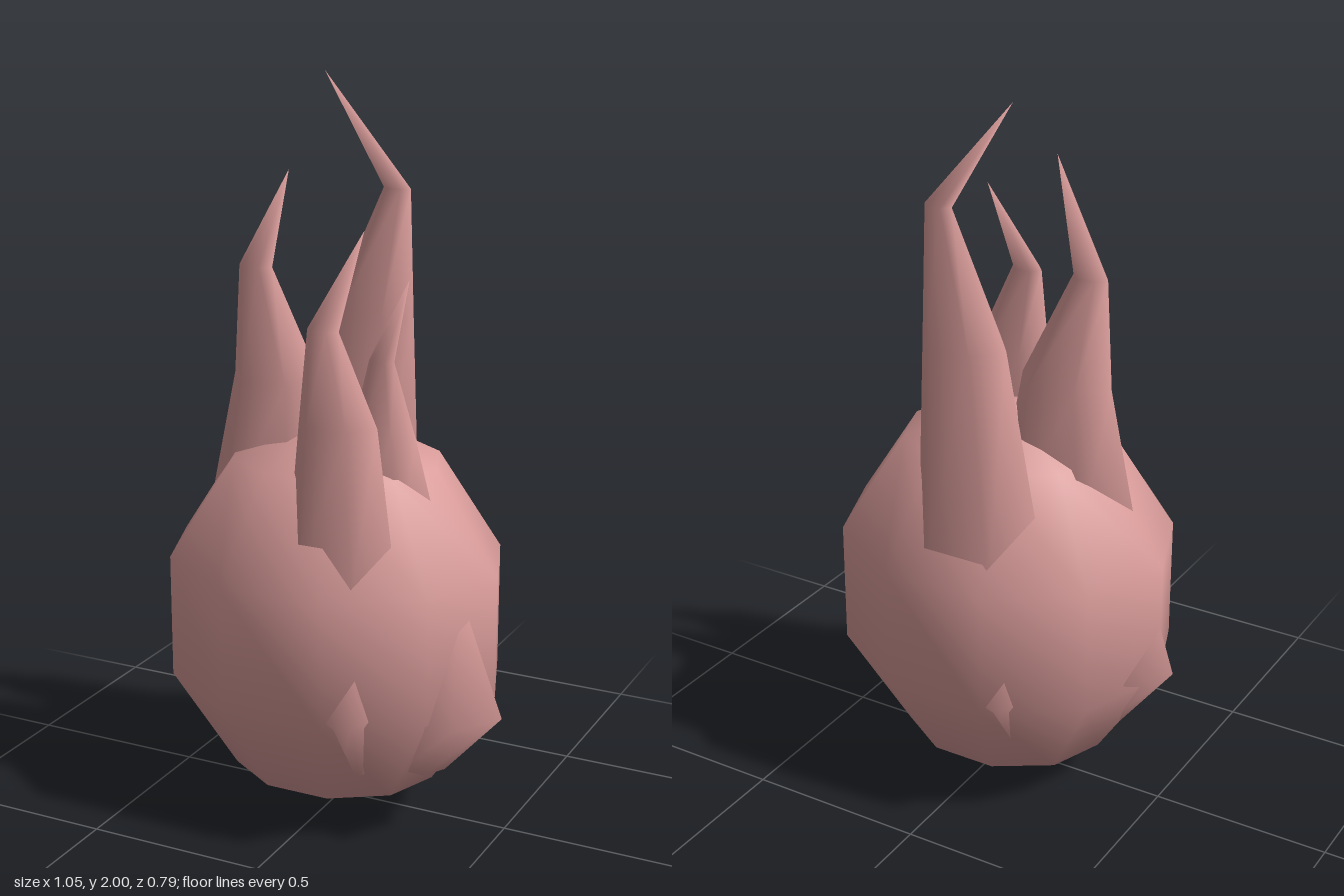
import * as THREE from 'three';

const SIDES = 6;

// Lofts six-sided rings [x, y, z, radiusX, radiusZ] from bottom to top, ending in a point.
function loft(rings, tip) {
  const pos = [], index = [];
  for (const [x, y, z, rx, rz] of rings) {
    for (let i = 0; i < SIDES; i++) {
      const a = (i / SIDES) * Math.PI * 2;
      pos.push(x + Math.cos(a) * rx, y, z + Math.sin(a) * rz);
    }
  }
  const top = pos.length / 3, last = (rings.length - 1) * SIDES;
  pos.push(...tip);
  const [bx, by, bz] = rings[0];
  pos.push(bx, by, bz);
  for (let i = 0; i < SIDES; i++) {
    const j = (i + 1) % SIDES;
    for (let r = 0; r < last; r += SIDES) {
      index.push(r + i, r + SIDES + i, r + j, r + j, r + SIDES + i, r + SIDES + j);
    }
    index.push(last + i, top, last + j);
    index.push(top + 1, i, j);
  }
  const geo = new THREE.BufferGeometry();
  geo.setAttribute('position', new THREE.Float32BufferAttribute(pos, 3));
  geo.setIndex(index);
  geo.computeVertexNormals();
  return geo;
}

export function createModel() {
  const group = new THREE.Group();
  const pink = new THREE.MeshStandardMaterial({ color: 0xd99c9a });
  pink.name = 'dustyPink';
  const add = (name, geo) => {
    const mesh = new THREE.Mesh(geo, pink);
    mesh.name = name;
    group.add(mesh);
    return mesh;
  };

  // Faceted egg-shaped body
  const body = add('body', new THREE.SphereGeometry(1, 10, 5));
  body.scale.set(0.5, 0.555, 0.437);
  body.position.set(-0.013, 0.555, 0);

  // Tall spikes: base, middle and bend rings, then a hooked tip
  add('backSpike', loft([
    [-0.065, 0.75, -0.232, 0.195, 0.145],
    [-0.015, 1.35, -0.225, 0.125, 0.092],
    [0.06, 1.7, -0.22, 0.04, 0.028],
  ], [-0.17, 2, -0.245]));
  add('rightSpike', loft([
    [-0.195, 0.8, 0, 0.215, 0.15],
    [-0.19, 1.2, 0, 0.133, 0.1],
    [-0.255, 1.5, 0, 0.05, 0.037],
  ], [-0.11, 1.78, 0.08]));
  add('frontSpike', loft([
    [0.115, 0.74, 0.235, 0.16, 0.118],
    [0.1, 1.16, 0.22, 0.112, 0.083],
    [0.055, 1.4, 0.215, 0.045, 0.032],
  ], [0.135, 1.65, 0.14]));
  add('leftSpike', loft([
    [0.175, 0.82, 0.075, 0.155, 0.115],
    [0.16, 1.1, 0.07, 0.092, 0.07],
    [0.155, 1.3, 0.075, 0.036, 0.027],
  ], [0.25, 1.53, 0.115]));

  // Blunt bumps around the lower body
  add('leftBump', loft([
    [0.29, 0.19, 0.095, 0.07, 0.07],
    [0.355, 0.375, 0.105, 0.17, 0.16],
  ], [0.4, 0.7, 0.1]));
  add('rightBump', loft([
    [-0.29, 0.19, 0, 0.07, 0.07],
    [-0.36, 0.41, 0, 0.17, 0.14],
  ], [-0.43, 0.72, 0]));
  for (const [name, s] of [['frontBump', 1], ['backBump', -1]]) {
    add(name, loft([
      [0.15 * s, 0.2, 0.2 * s, 0.06, 0.06],
      [0.18 * s, 0.4, 0.275 * s, 0.08, 0.13],
    ], [0.2 * s, 0.65, 0.3 * s]));
  }
  return group;
}
